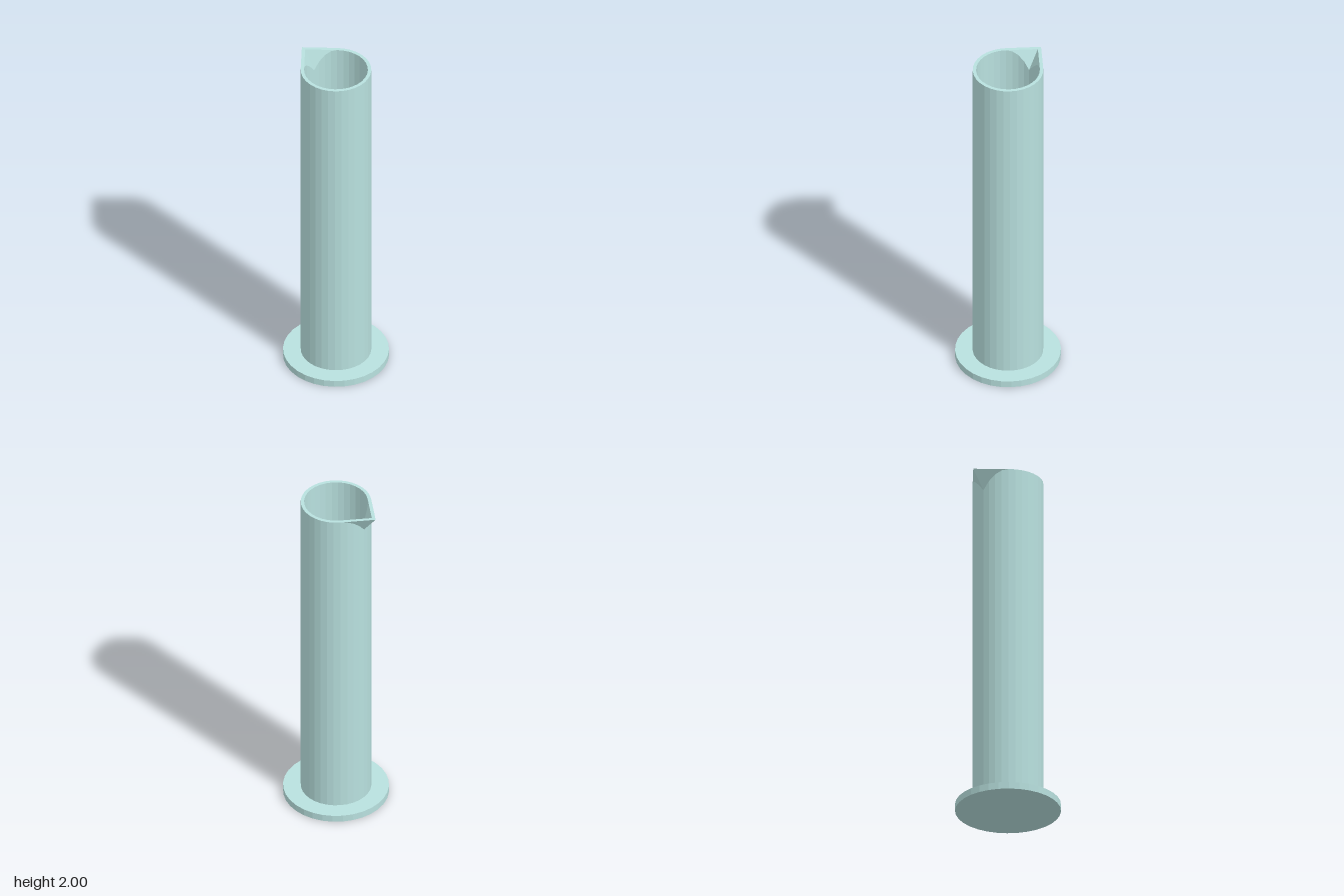
import * as THREE from 'three';

const SIDES = 32, TOP = 2, FLOOR = 0.04;
const OUTER = 0.196, INNER = 0.177, SPOUT_DEPTH = 0.355;

// Ring around the tube; in the spout quarter (x < 0, z < 0) the wall stops at the
// sloping spout faces, and the rim runs out to a square corner.
function ring(radius, level) {
  return Array.from({ length: SIDES }, (_, i) => {
    const a = (i / SIDES) * Math.PI * 2;
    const c = Math.cos(a), s = Math.sin(a);
    const inSpout = i > SIDES / 2 && i < SIDES * 0.75;
    const m = inSpout ? Math.max(Math.abs(c), Math.abs(s)) : 1;
    const r = level === 'rim' ? radius / m : radius;
    const y = level === 'rim' ? TOP : level === 'wall' ? TOP - SPOUT_DEPTH * (1 - m) : level;
    return new THREE.Vector3(c * r, y, s * r);
  });
}

// Joins rings of equal length with flat facets, leaving out collapsed triangles
function loft(rings) {
  const pos = [];
  const tri = (a, b, c) => {
    if (new THREE.Triangle(a, b, c).getArea() < 1e-8) return;
    for (const p of [a, b, c]) pos.push(p.x, p.y, p.z);
  };
  for (let j = 0; j < rings.length - 1; j++) {
    for (let i = 0; i < SIDES; i++) {
      const k = (i + 1) % SIDES, lo = rings[j], hi = rings[j + 1];
      tri(lo[i], hi[i], lo[k]);
      tri(lo[k], hi[i], hi[k]);
    }
  }
  const geometry = new THREE.BufferGeometry();
  geometry.setAttribute('position', new THREE.Float32BufferAttribute(pos, 3));
  geometry.computeVertexNormals();
  return geometry;
}

export function createModel() {
  const group = new THREE.Group();
  group.name = 'measuringCylinder';
  const material = new THREE.MeshStandardMaterial({ color: 0xb8e0de, flatShading: true });

  // Round foot
  const foot = new THREE.Mesh(new THREE.CylinderGeometry(0.294, 0.294, FLOOR, SIDES), material);
  foot.name = 'foot';
  foot.position.y = FLOOR / 2;
  group.add(foot);

  // Hollow tube with pouring spout: up the outside, over the rim, down the inside
  const tube = new THREE.Mesh(loft([
    ring(OUTER, FLOOR), ring(OUTER, 'wall'), ring(OUTER, 'rim'),
    ring(INNER, 'rim'), ring(INNER, 'wall'), ring(INNER, FLOOR),
  ]), material);
  tube.name = 'tubeWithSpout';
  group.add(tube);

  return group;
}
